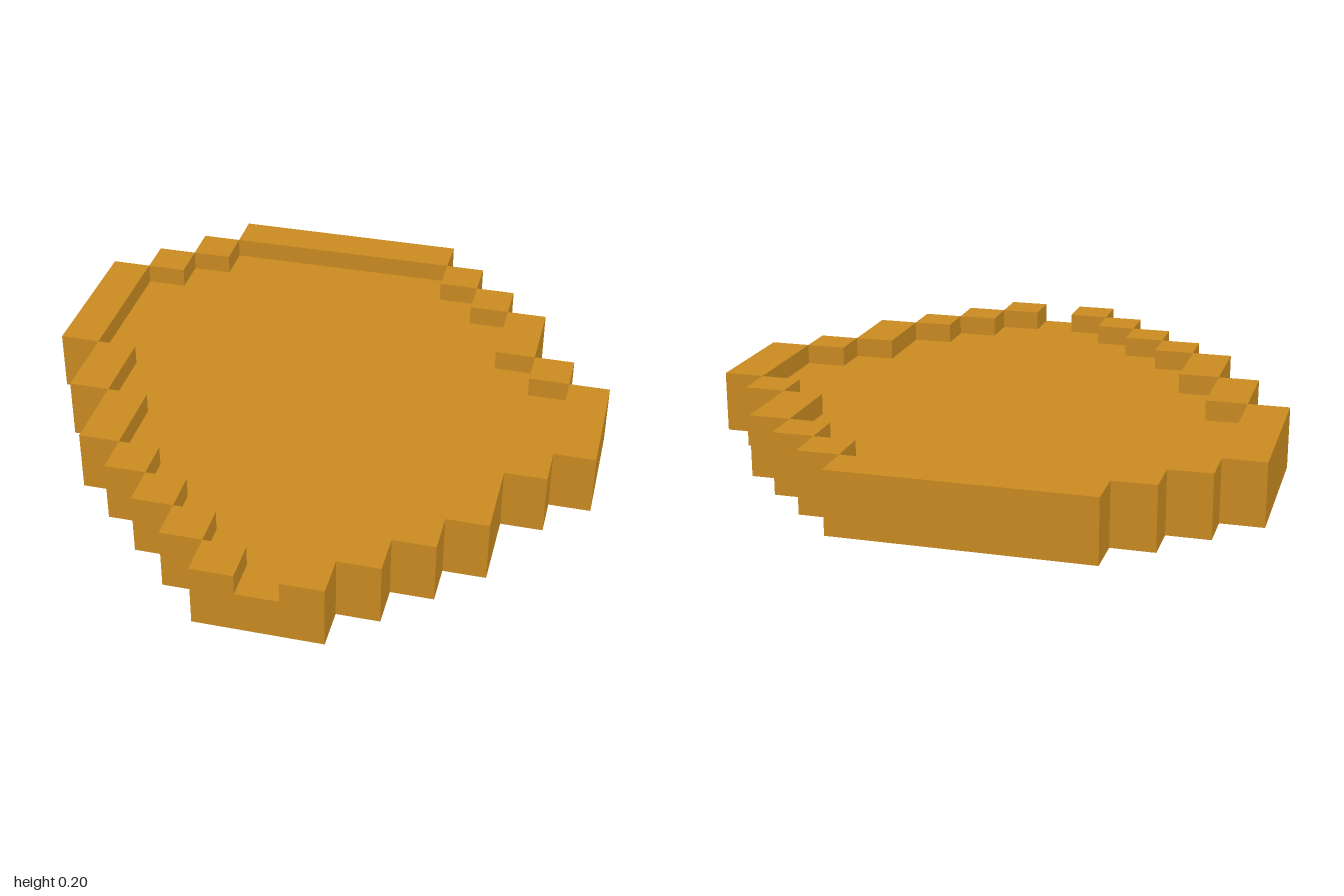
import * as THREE from 'three';

const CELL = 2 / 15;
const HEIGHT = { '.': 0, 'o': CELL, '#': CELL * 1.5 };

// Plan seen from above, back row first: # raised rim, o floor, . empty
const PLAN = [
  '...######.....',
  '..#oooooo#....',
  '.#oooooooo#...',
  '#oooooooooo#..',
  '#oooooooooo#..',
  '#ooooooooooo#.',
  '#oooooooooooo#',
  '.#ooooooooooo#',
  '.#ooooooooooo#',
  '..#ooooooooo#.',
  '..#oooooooo#..',
  '...#ooooooo#..',
  '....#ooooo#...',
  '.....#ooo#....',
  '......#o#.....',
];

const cellAt = (col, row) => PLAN[row]?.[col] ?? '.';

// Builds the exposed faces of every cell of one kind
function blockGeometry(kind) {
  const positions = [];
  const quad = (a, b, c, d) => positions.push(...a, ...b, ...c, ...a, ...c, ...d);
  const half = CELL / 2;
  const top = HEIGHT[kind];

  PLAN.forEach((line, row) => [...line].forEach((cell, col) => {
    if (cell !== kind) return;
    const x = (col + 0.5 - line.length / 2) * CELL;
    const z = (row + 0.5 - PLAN.length / 2) * CELL;
    const corner = (sx, y, sz) => [x + sx * half, y, z + sz * half];

    // Top and underside
    quad(corner(-1, top, -1), corner(-1, top, 1), corner(1, top, 1), corner(1, top, -1));
    quad(corner(-1, 0, -1), corner(1, 0, -1), corner(1, 0, 1), corner(-1, 0, 1));

    // Walls down to any lower neighbour
    for (const [dx, dz] of [[1, 0], [-1, 0], [0, 1], [0, -1]]) {
      const low = HEIGHT[cellAt(col + dx, row + dz)];
      if (low >= top) continue;
      const start = [dx - dz, dz + dx];
      const end = [dx + dz, dz - dx];
      quad(corner(start[0], low, start[1]), corner(end[0], low, end[1]),
        corner(end[0], top, end[1]), corner(start[0], top, start[1]));
    }
  }));

  const geometry = new THREE.BufferGeometry();
  geometry.setAttribute('position', new THREE.Float32BufferAttribute(positions, 3));
  geometry.computeVertexNormals();
  return geometry;
}

export function createModel() {
  const group = new THREE.Group();
  group.name = 'steppedTray';
  const amber = new THREE.MeshStandardMaterial({ color: 0xc98a20 });
  amber.name = 'amber';

  // Recessed floor and the raised stepped border
  for (const [name, kind] of [['floor', 'o'], ['rim', '#']]) {
    const mesh = new THREE.Mesh(blockGeometry(kind), amber);
    mesh.name = name;
    group.add(mesh);
  }
  return group;
}
